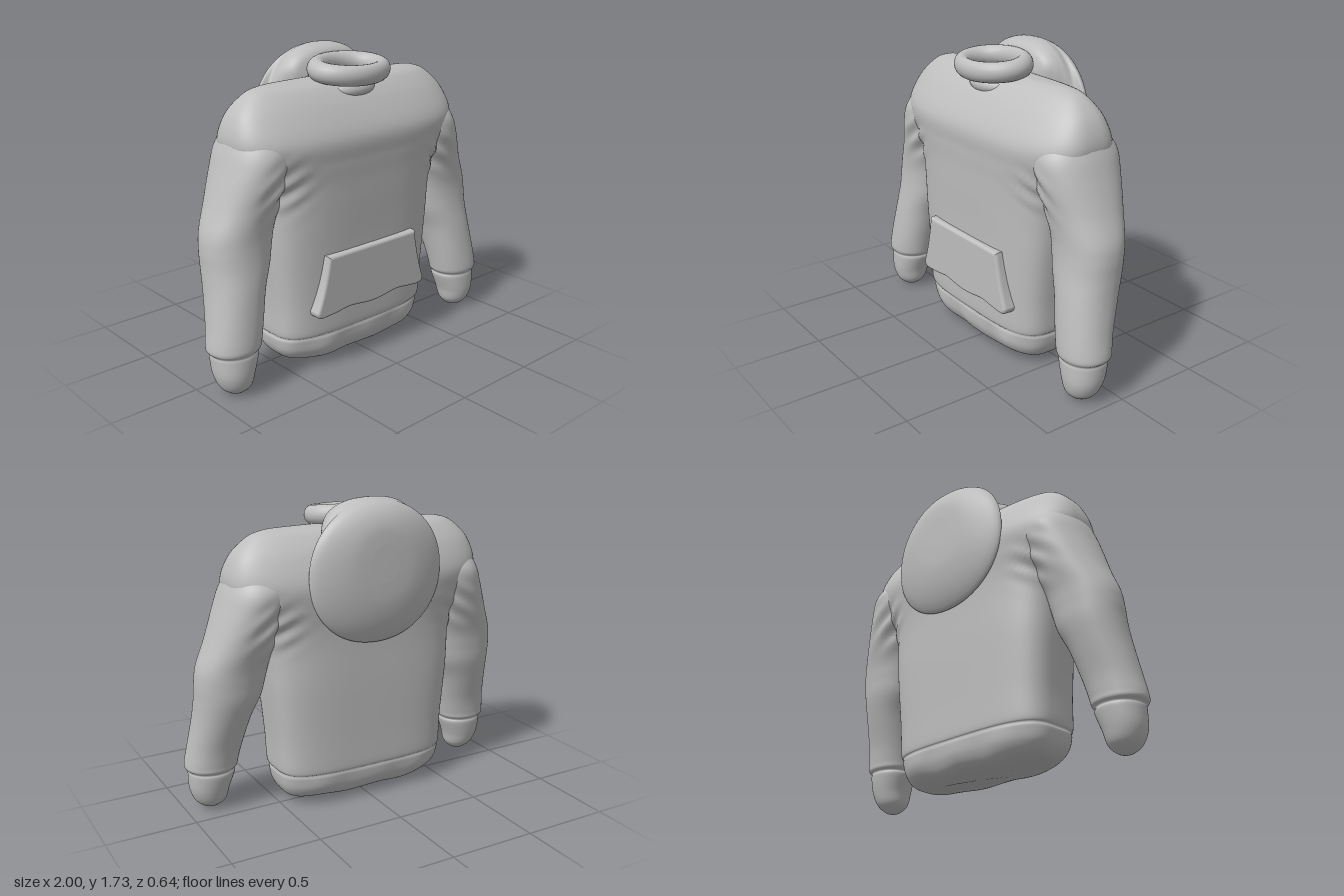
import * as THREE from 'three';

const cloth = new THREE.MeshStandardMaterial({ color: 0xbebebe });
cloth.name = 'grey cloth';

const mix = (a, b, c, d, t) => 0.5 * (2 * b + (c - a) * t
  + (2 * a - 5 * b + 4 * c - d) * t * t + (3 * b - a - 3 * c + d) * t * t * t);

// Smooth closed loft through rows [t, a0, a1, b0, b1, squareness].
// place(a, b, t) returns the [x, y, z] of a point.
function loft(rows, place, steps = 8, sides = 72) {
  const pos = [], idx = [], rings = [];
  const at = i => rows[Math.max(0, Math.min(rows.length - 1, i))];
  for (let i = 0; i < rows.length - 1; i++) {
    for (let s = 0; s < steps; s++) {
      rings.push(rows[0].map((_, k) => mix(at(i - 1)[k], at(i)[k], at(i + 1)[k], at(i + 2)[k], s / steps)));
    }
  }
  rings.push(rows[rows.length - 1]);
  const power = (v, n) => Math.sign(v) * Math.abs(v) ** (2 / n);
  for (const [t, a0, a1, b0, b1, n] of rings) {
    for (let j = 0; j < sides; j++) {
      const w = j / sides * Math.PI * 2;
      pos.push(...place((a0 + a1) / 2 + (a1 - a0) / 2 * power(Math.cos(w), n),
        (b0 + b1) / 2 + (b1 - b0) / 2 * power(Math.sin(w), n), t));
    }
  }
  for (let i = 0; i < rings.length - 1; i++) {
    for (let j = 0; j < sides; j++) {
      const k = (j + 1) % sides, p = i * sides, q = p + sides;
      idx.push(p + j, p + k, q + k, p + j, q + k, q + j);
    }
  }
  // End caps
  const last = rings.length - 1, first = pos.length / 3;
  for (const r of [rings[0], rings[last]]) pos.push(...place((r[1] + r[2]) / 2, (r[3] + r[4]) / 2, r[0]));
  for (let j = 0; j < sides; j++) {
    const k = (j + 1) % sides;
    idx.push(first, k, j, first + 1, last * sides + j, last * sides + k);
  }
  const g = new THREE.BufferGeometry();
  g.setAttribute('position', new THREE.Float32BufferAttribute(pos, 3));
  g.setIndex(idx);
  g.computeVertexNormals();
  return g;
}

// Soft diagonal creases around the armpits
function crease(x, y, z) {
  const u = (Math.abs(x) - 0.57) / 0.11, v = (y - 1.07) / 0.12;
  return 0.011 * Math.sin((y + 0.7 * Math.abs(x)) * 52) * Math.exp(-u * u - v * v) * Math.max(-1, Math.min(1, z * 12));
}

export function createModel() {
  const model = new THREE.Group();
  const add = (name, geometry) => {
    const mesh = new THREE.Mesh(geometry, cloth);
    mesh.name = name;
    model.add(mesh);
    return mesh;
  };

  // Torso with rounded shoulders, hem seam and wavy hem: y, x range, z range, squareness
  add('torso', loft([
    [1.577, -0.47, 0.47, 0.0, 0.04, 2.6],
    [1.57, -0.55, 0.55, -0.05, 0.08, 2.7],
    [1.537, -0.635, 0.635, -0.11, 0.145, 2.8],
    [1.44, -0.728, 0.728, -0.185, 0.228, 3],
    [1.3, -0.767, 0.767, -0.24, 0.304, 3.1],
    [1.17, -0.71, 0.71, -0.235, 0.304, 3.1],
    [1.06, -0.63, 0.63, -0.222, 0.298, 3.2],
    [0.93, -0.592, 0.58, -0.215, 0.294, 3.3],
    [0.7, -0.575, 0.555, -0.21, 0.285, 3.6],
    [0.4, -0.55, 0.525, -0.2, 0.28, 3.6],
    [0.23, -0.545, 0.515, -0.195, 0.277, 3.6],
    [0.2, -0.535, 0.502, -0.186, 0.267, 3.6],
    [0.175, -0.54, 0.505, -0.188, 0.27, 3.5],
    [0.11, -0.525, 0.492, -0.175, 0.262, 3.4],
    [0.055, -0.48, 0.455, -0.14, 0.23, 3.2],
    [0.028, -0.41, 0.39, -0.08, 0.17, 3],
    [0.024, -0.3, 0.3, -0.02, 0.1, 3],
  ], (x, z, y) => {
    const hem = Math.max(0, 1 - y / 0.2);
    return [x, y + 0.006 * Math.cos(x * 18 + 1) * hem,
      z + crease(x, y, z) + 0.12 * z * Math.cos(x * 20) * hem * (1 - hem)];
  }));

  // Sleeve with elbow bulge, cuff seam and closed rounded end; its top is sunk into the shoulder
  const sleeve = [
    [1.42, 0.5, 0.66, -0.06, 0.1, 2],
    [1.37, 0.46, 0.73, -0.13, 0.175, 2.1],
    [1.28, 0.43, 0.778, -0.2, 0.252, 2.2],
    [1.17, 0.45, 0.818, -0.2, 0.264, 2.2],
    [1.0, 0.5, 0.88, -0.165, 0.235, 2.2],
    [0.87, 0.54, 0.932, -0.13, 0.22, 2.2],
    [0.78, 0.56, 0.946, -0.115, 0.22, 2.2],
    [0.68, 0.585, 0.948, -0.1, 0.23, 2.2],
    [0.56, 0.635, 0.956, -0.065, 0.248, 2.2],
    [0.4, 0.675, 0.978, -0.015, 0.268, 2.2],
    [0.3, 0.695, 0.996, 0.005, 0.278, 2.1],
    [0.265, 0.703, 0.996, 0.01, 0.276, 2.1],
    [0.245, 0.72, 0.978, 0.025, 0.263, 2.1],
    [0.22, 0.718, 0.979, 0.022, 0.266, 2.1],
    [0.13, 0.748, 0.972, 0.043, 0.264, 2.1],
    [0.06, 0.765, 0.945, 0.07, 0.245, 2],
    [0.02, 0.805, 0.9, 0.115, 0.205, 2],
    [0.005, 0.845, 0.86, 0.15, 0.165, 2],
  ];
  const creased = (x, z, y) => [x, y, z + crease(x, y, z)];
  add('leftSleeve', loft(sleeve, creased));
  add('rightSleeve', loft(sleeve.map(([y, a, b, ...rest]) => [y, -b, -a, ...rest]), creased));

  // Hood hanging down the back, domed behind and narrowing towards the collar
  add('hood', loft([
    [-0.325, -0.08, 0.08, 1.3, 1.5, 2.1],
    [-0.318, -0.19, 0.19, 1.18, 1.59, 2.1],
    [-0.295, -0.29, 0.29, 1.07, 1.655, 2.1],
    [-0.26, -0.375, 0.375, 0.985, 1.698, 2.1],
    [-0.225, -0.405, 0.405, 0.95, 1.718, 2.1],
    [-0.2, -0.345, 0.345, 1.03, 1.727, 2.2],
    [-0.16, -0.305, 0.305, 1.22, 1.732, 2.4],
    [-0.11, -0.27, 0.27, 1.38, 1.722, 2.4],
    [-0.07, -0.235, 0.235, 1.45, 1.695, 2.3],
    [-0.045, -0.18, 0.18, 1.48, 1.64, 2.2],
  ], (x, y, z) => [x, y, z]));

  // Rolled oval collar, raised slightly at the back
  const ring = new THREE.TorusGeometry(0.196, 0.056, 20, 72);
  ring.rotateX(-Math.PI / 2).scale(1, 1, 0.76).rotateX(0.11);
  add('collar', ring).position.set(0, 1.615, 0.095);

  // Neck filling below the collar
  const neck = add('neck', new THREE.SphereGeometry(1, 32, 20));
  neck.scale.set(0.16, 0.065, 0.105);
  neck.position.set(0, 1.51, 0.1);

  // Front pocket with slanted openings and wavy lower edge
  const outline = new THREE.Shape();
  outline.moveTo(-0.32, 0.655);
  outline.lineTo(0.305, 0.655);
  outline.quadraticCurveTo(0.33, 0.5, 0.38, 0.365);
  outline.quadraticCurveTo(0.38, 0.345, 0.35, 0.345);
  outline.bezierCurveTo(0.2, 0.355, 0.22, 0.37, 0.12, 0.355);
  outline.bezierCurveTo(0, 0.335, -0.05, 0.345, -0.12, 0.355);
  outline.bezierCurveTo(-0.22, 0.37, -0.2, 0.35, -0.37, 0.345);
  outline.quadraticCurveTo(-0.4, 0.345, -0.4, 0.365);
  outline.quadraticCurveTo(-0.345, 0.5, -0.32, 0.655);
  const pocket = add('pocket', new THREE.ExtrudeGeometry(outline, {
    depth: 0.05, bevelThickness: 0.02, bevelSize: 0.017, bevelSegments: 5, curveSegments: 10,
  }));
  pocket.position.z = 0.248;

  return model;
}
